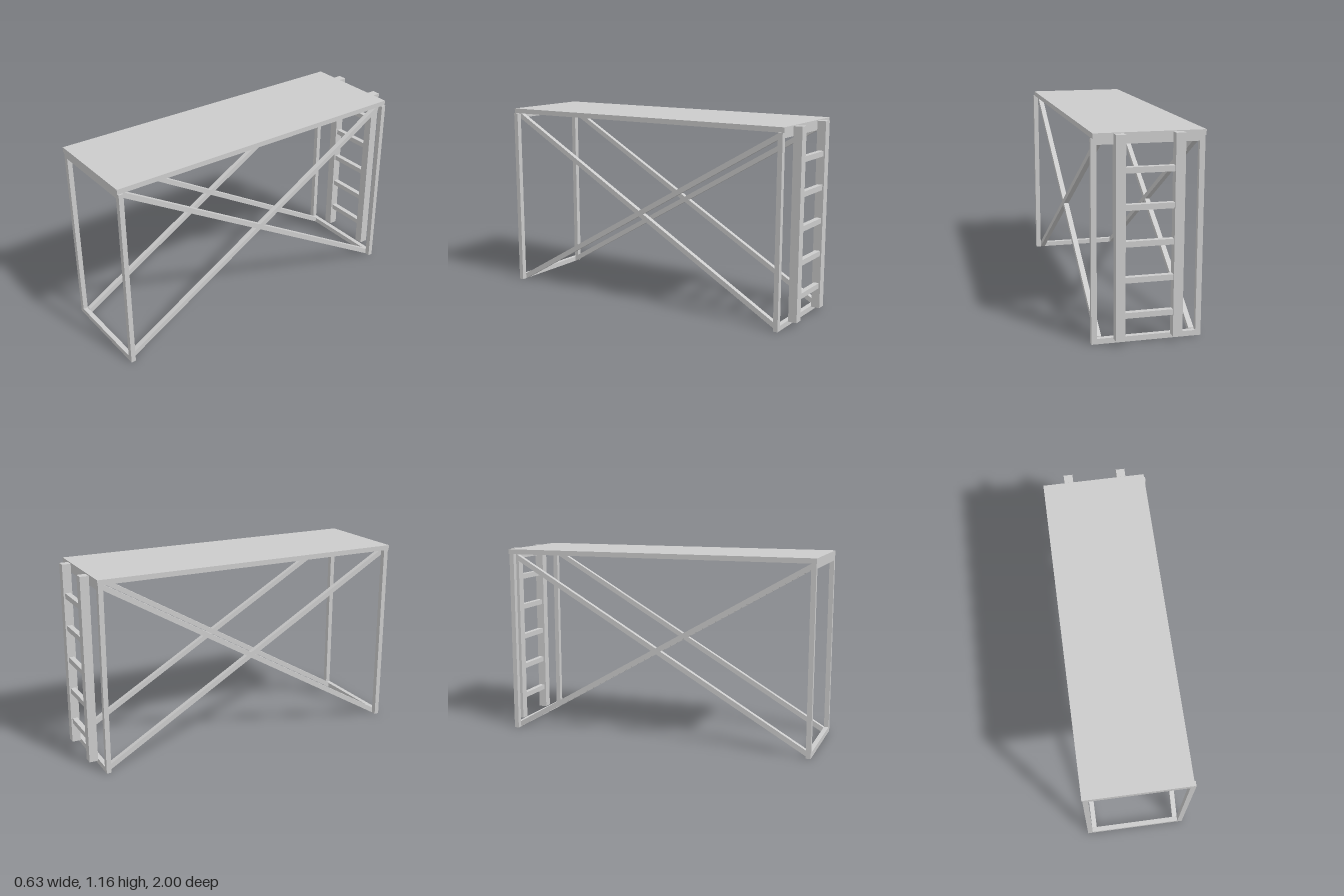
import * as THREE from 'three';

const material = new THREE.MeshStandardMaterial({ color: 0xcccccc, flatShading: true });

function addMesh(parent, name, geometry) {
  const mesh = new THREE.Mesh(geometry, material);
  mesh.name = name;
  parent.add(mesh);
  return mesh;
}

// Box given by its lower and upper limits on each axis
function addBox(parent, name, [x0, x1], [y0, y1], [z0, z1]) {
  const mesh = addMesh(parent, name, new THREE.BoxGeometry(x1 - x0, y1 - y0, z1 - z0));
  mesh.position.set((x0 + x1) / 2, (y0 + y1) / 2, (z0 + z1) / 2);
}

const polygon = (points) => points.map(([x, y]) => new THREE.Vector2(x, y));
const extrude = (shape, depth) => new THREE.ExtrudeGeometry(shape, { depth, bevelEnabled: false });

export function createModel() {
  const model = new THREE.Group();
  model.name = 'scaffold';

  const height = 1.127, half = 0.311, bar = 0.031;
  const frontZ = 0.997, backZ = -0.911;

  // Deck, set slightly off to one side of the frames
  addBox(model, 'deck', [-0.315, 0.301], [height, 1.157], [-0.944, 1]);

  // Rectangular end frames
  const outline = new THREE.Shape(polygon([[-half, 0], [half, 0], [half, height], [-half, height]]));
  const inX = half - bar, inTop = height - bar;
  outline.holes.push(new THREE.Path(polygon([[-inX, bar], [-inX, inTop], [inX, inTop], [inX, bar]])));
  for (const [name, z] of [['frontFrame', frontZ], ['backFrame', backZ]]) {
    addMesh(model, name, extrude(outline, 0.029)).position.z = z - 0.029;
  }

  // Crossed braces, cut flush with the inner faces of the frames
  const z0 = backZ, z1 = frontZ - 0.029, cut = 0.035;
  const rising = [[z0, 0], [z1, height - cut], [z1, height], [z0, cut]];
  const falling = [[z0, height - cut], [z1, 0], [z1, cut], [z0, height]];
  for (const [side, x] of [['left', inX], ['right', -0.25]]) {
    for (const [kind, points] of [['Rising', rising], ['Falling', falling]]) {
      const brace = addMesh(model, `${side}${kind}Brace`, extrude(new THREE.Shape(polygon(points)), 0.03));
      brace.rotation.y = -Math.PI / 2;
      brace.position.x = x;
    }
  }

  // Ladder on the back end
  const ladder = new THREE.Group();
  ladder.name = 'ladder';
  model.add(ladder);
  addBox(ladder, 'rightRail', [-0.185, -0.131], [0.03, 1.153], [-1, -0.947]);
  addBox(ladder, 'leftRail', [0.137, 0.19], [0.03, 1.153], [-1, -0.947]);
  for (let i = 0; i < 5; i++) {
    const y = 0.153 + i * 0.199;
    addBox(ladder, `rung${i + 1}`, [-0.131, 0.137], [y, y + 0.032], [-0.991, -0.959]);
  }

  return model;
}
